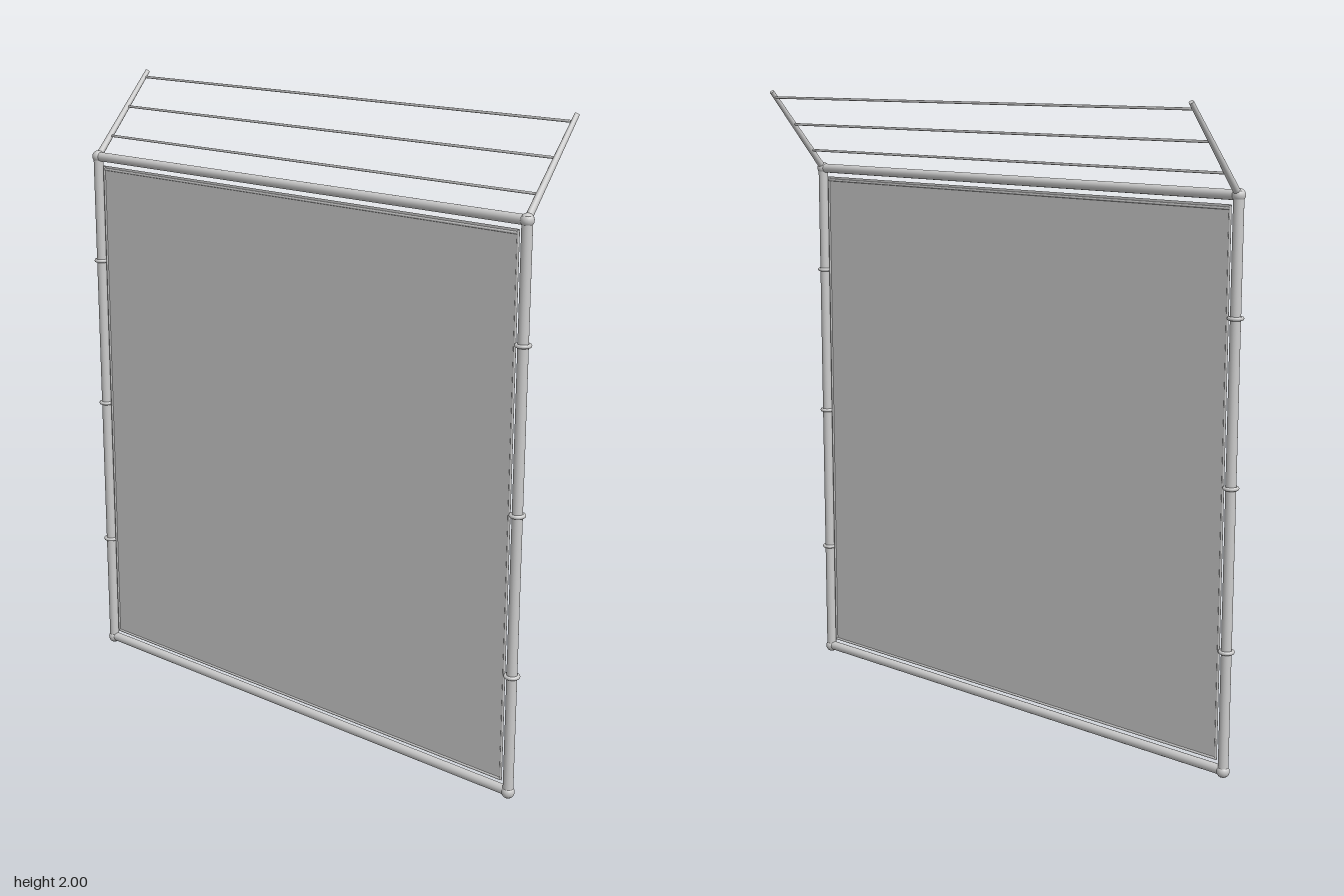
import * as THREE from 'three';

const material = new THREE.MeshStandardMaterial({ color: 0xcccccc });
const sheetMaterial = new THREE.MeshStandardMaterial({ color: 0xcccccc, side: THREE.DoubleSide });

const X = -0.11;      // plane of the fence
const Z = 0.858;      // post centre
const LOW = 0.022, HIGH = 1.733; // rail heights

export function createModel() {
  const group = new THREE.Group();

  const add = (name, geometry, x, y, z, mat = material) => {
    const mesh = new THREE.Mesh(geometry, mat);
    mesh.name = name;
    mesh.position.set(x, y, z);
    group.add(mesh);
    return mesh;
  };

  // Round bar between two points, optionally tapered
  const bar = (name, from, to, r0, r1 = r0, sides = 16) => {
    const a = new THREE.Vector3(...from), b = new THREE.Vector3(...to);
    const dir = b.clone().sub(a);
    const mid = a.clone().add(b).multiplyScalar(0.5);
    const mesh = add(name, new THREE.CylinderGeometry(r1, r0, dir.length(), sides), mid.x, mid.y, mid.z);
    mesh.quaternion.setFromUnitVectors(new THREE.Vector3(0, 1, 0), dir.normalize());
    return mesh;
  };

  // Horizontal rails
  bar('bottomRail', [X, LOW + 0.002, -Z], [X, LOW + 0.002, Z], 0.015);
  bar('topRail', [X, HIGH, -Z], [X, HIGH, Z], 0.015);

  // Mesh sheet
  const sheet = add('fenceSheet', new THREE.PlaneGeometry(1.668, 1.655), X, 0.878, 0, sheetMaterial);
  sheet.rotation.y = Math.PI / 2;

  // Thin wires along the top and bottom of the sheet
  for (const y of [0.054, 1.694]) {
    bar('edgeWire', [X, y, -0.83], [X, y, 0.83], 0.004, 0.004, 8);
  }

  for (const side of [1, -1]) {
    const z = side * Z;

    // Post with rounded corner joints
    bar('post', [X, LOW - 0.012, z], [X, HIGH + 0.012, z], 0.016);
    add('cornerJoint', new THREE.SphereGeometry(0.02, 16, 12), X, LOW, z);
    add('cornerJoint', new THREE.SphereGeometry(0.02, 16, 12), X, HIGH, z);

    // Tension bar beside the post
    bar('tensionBar', [X, 0.052, side * 0.83], [X, 1.703, side * 0.83], 0.004, 0.004, 8);

    // Clamp rings
    for (const y of [0.395, 0.89, 1.385]) {
      const ring = add('clampRing', new THREE.TorusGeometry(0.019, 0.006, 8, 20), X, y, z);
      ring.rotation.x = Math.PI / 2;
    }

    // Outward leaning arm
    bar('arm', [X, HIGH, side * 0.858], [0.117, 1.994, side * 0.853], 0.011, 0.0075, 12);
  }

  // Wires strung between the arms
  for (const [x, y] of [[-0.056, 1.796], [0.023, 1.885], [0.104, 1.975]]) {
    bar('strungWire', [x, y, -0.855], [x, y, 0.855], 0.004, 0.004, 8);
  }

  return group;
}
